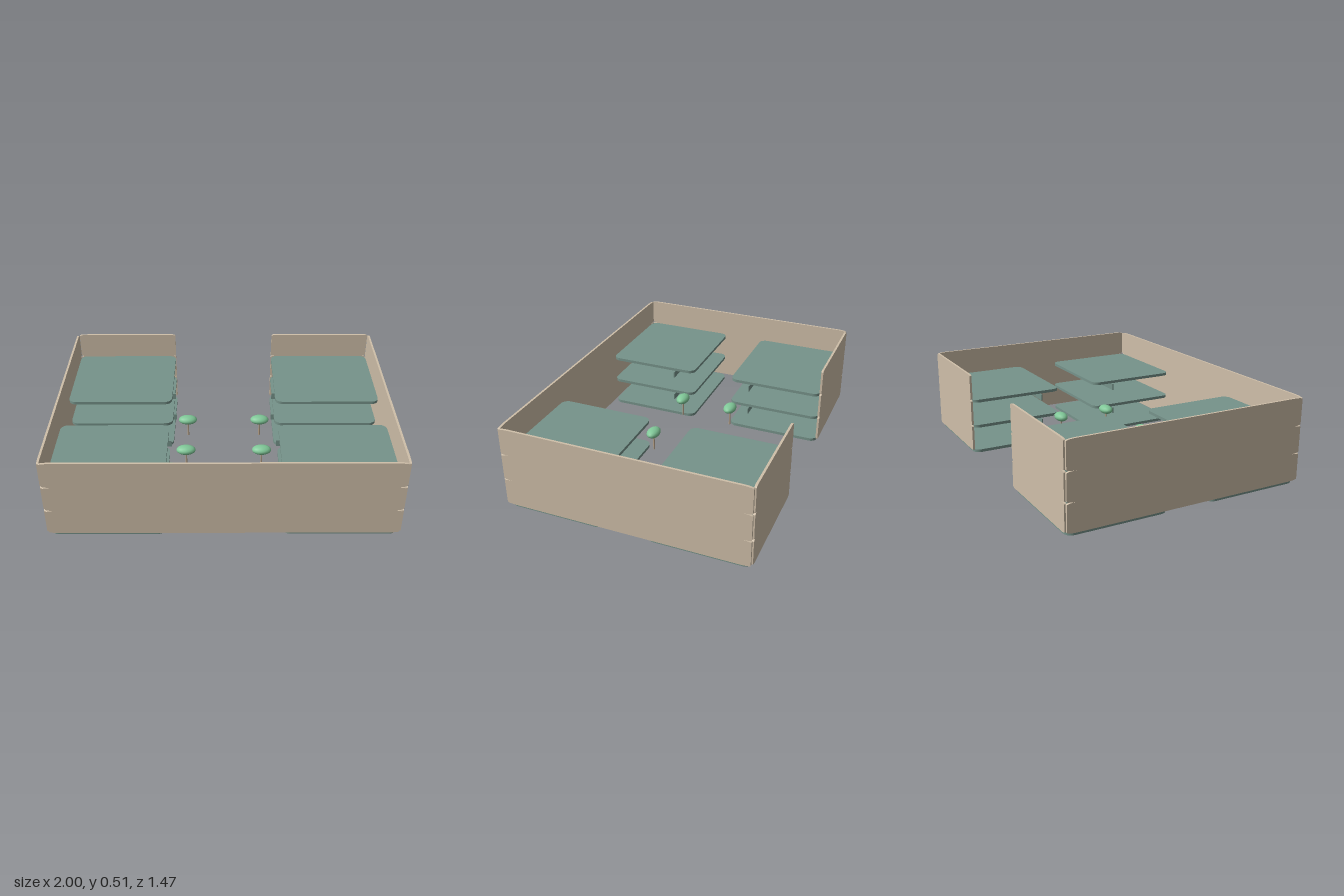
import * as THREE from 'three';

const mat = (name, color) => {
  const m = new THREE.MeshStandardMaterial({ color });
  m.name = name;
  return m;
};

// Plate in the XY plane with elliptical corners, centred on the origin
function plate(w, h, depth, rx, ry) {
  const x = w / 2, y = h / 2, q = Math.PI / 2;
  const s = new THREE.Shape();
  s.moveTo(x, -y + ry);
  [[1, 1], [-1, 1], [-1, -1], [1, -1]].forEach(([sx, sy], i) =>
    s.absellipse(sx * (x - rx), sy * (y - ry), rx, ry, i * q, (i + 1) * q, false, 0));
  s.closePath();
  return new THREE.ExtrudeGeometry(s, { depth, bevelEnabled: false, curveSegments: 6 })
    .translate(0, 0, -depth / 2);
}

export function createModel() {
  const model = new THREE.Group();
  model.name = 'building';
  const wallMat = mat('wall beige', 0xcfbfa9);
  const floorMat = mat('floor green', 0x76938a);
  const leafMat = mat('leaf green', 0x80c898);
  const trunkMat = mat('trunk tan', 0xb8a48c);
  const stepMat = mat('step gold', 0xc9a550);

  const add = (name, geo, material, x, y, z, ry = 0) => {
    const m = new THREE.Mesh(geo, material);
    m.name = name;
    m.position.set(x, y, z);
    m.rotation.y = ry;
    model.add(m);
    return m;
  };

  const storey = 0.1635, thick = 0.013;
  const frontGeo = plate(1.98, storey, thick, 0.07, 0.009);
  const sideGeo = plate(1.45, storey, thick, 0.06, 0.009);
  const backGeo = plate(0.655, storey, thick, 0.03, 0.009);
  const floorGeo = plate(0.655, 0.59, 0.018, 0.045, 0.045).rotateX(-Math.PI / 2);
  const beamGeo = new THREE.BoxGeometry(0.67, 0.04, 0.006);

  for (let i = 0; i < 3; i++) {
    const base = i * storey, mid = 0.02 + base + storey / 2;
    // Outer walls, open in the middle of the back
    add('frontWall', frontGeo, wallMat, 0, mid, 0.724);
    for (const sx of [-1, 1]) {
      add('sideWall', sideGeo, wallMat, sx * 0.9935, mid, -0.003, Math.PI / 2);
      add('backWall', backGeo, wallMat, sx * 0.657, mid, -0.729);
      // Four corner floors, the upper ones carried by a beam
      for (const sz of [-1, 1]) {
        add('floorSlab', floorGeo, floorMat, sx * 0.657, base + 0.009, sz * 0.425 - 0.003);
        if (i > 0) add('floorBeam', beamGeo, floorMat, sx * 0.645, base - 0.022, sz * 0.262 - 0.003);
      }
    }
  }

  // Courtyard trees
  const crownGeo = new THREE.IcosahedronGeometry(1, 2).scale(0.06, 0.028, 0.04);
  const trunkGeo = new THREE.CylinderGeometry(0.005, 0.006, 0.11, 8);
  for (const sx of [-1, 1]) for (const sz of [-1, 1]) {
    add('treeCrown', crownGeo, leafMat, sx * 0.232, 0.185, sz * 0.165 - 0.004);
    add('treeTrunk', trunkGeo, trunkMat, sx * 0.232, 0.12, sz * 0.165 - 0.004);
  }

  // Stair rising towards +x
  const steps = 11;
  const stepGeo = new THREE.BoxGeometry(0.0155, 0.01, 0.162);
  for (let i = 0; i < steps; i++) {
    const t = i / (steps - 1);
    add('stairStep', stepGeo, stepMat, -0.081 + 0.162 * t, 0.02 + 0.145 * t, 0.56);
  }
  return model;
}
